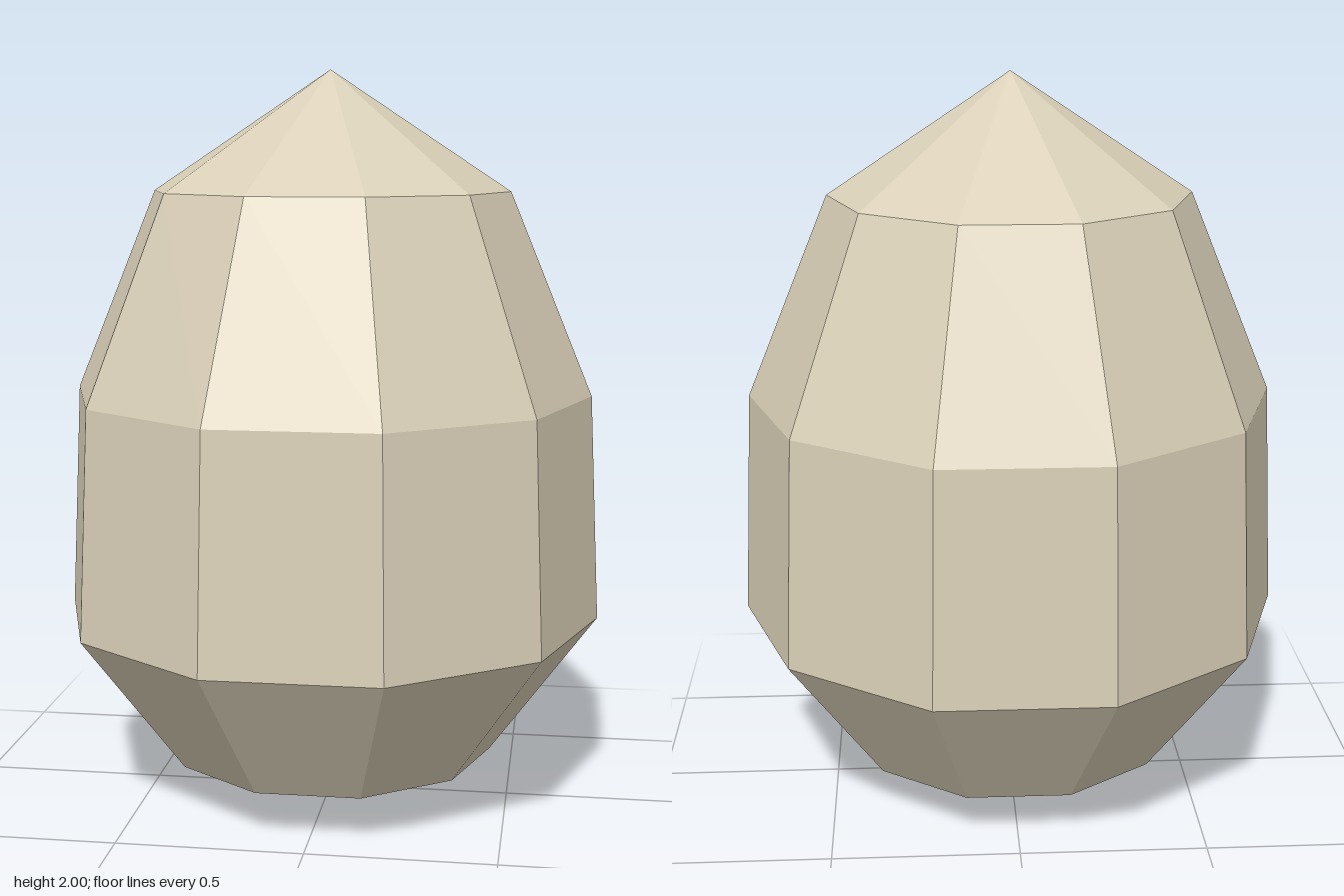
import * as THREE from 'three';

export function createModel() {
  const group = new THREE.Group();
  group.name = 'egg';

  const shellCream = new THREE.MeshStandardMaterial({ color: 0xdad0b8, flatShading: true });
  shellCream.name = 'shellCream';

  // Egg profile (radius, height) from the bottom tip to the top tip
  const profile = [
    [0, 0], [0.45, 0.13], [0.74, 0.52], [0.71, 1.135], [0.485, 1.68], [0, 2],
  ].map(([r, y]) => new THREE.Vector2(r, y));

  // Ten-sided faceted shell, turned so that corners lie on the x axis
  const sides = 10;
  const geometry = new THREE.LatheGeometry(profile, sides, Math.PI / sides).toNonIndexed();
  geometry.computeVertexNormals();

  const shell = new THREE.Mesh(geometry, shellCream);
  shell.name = 'shell';
  group.add(shell);
  return group;
}
